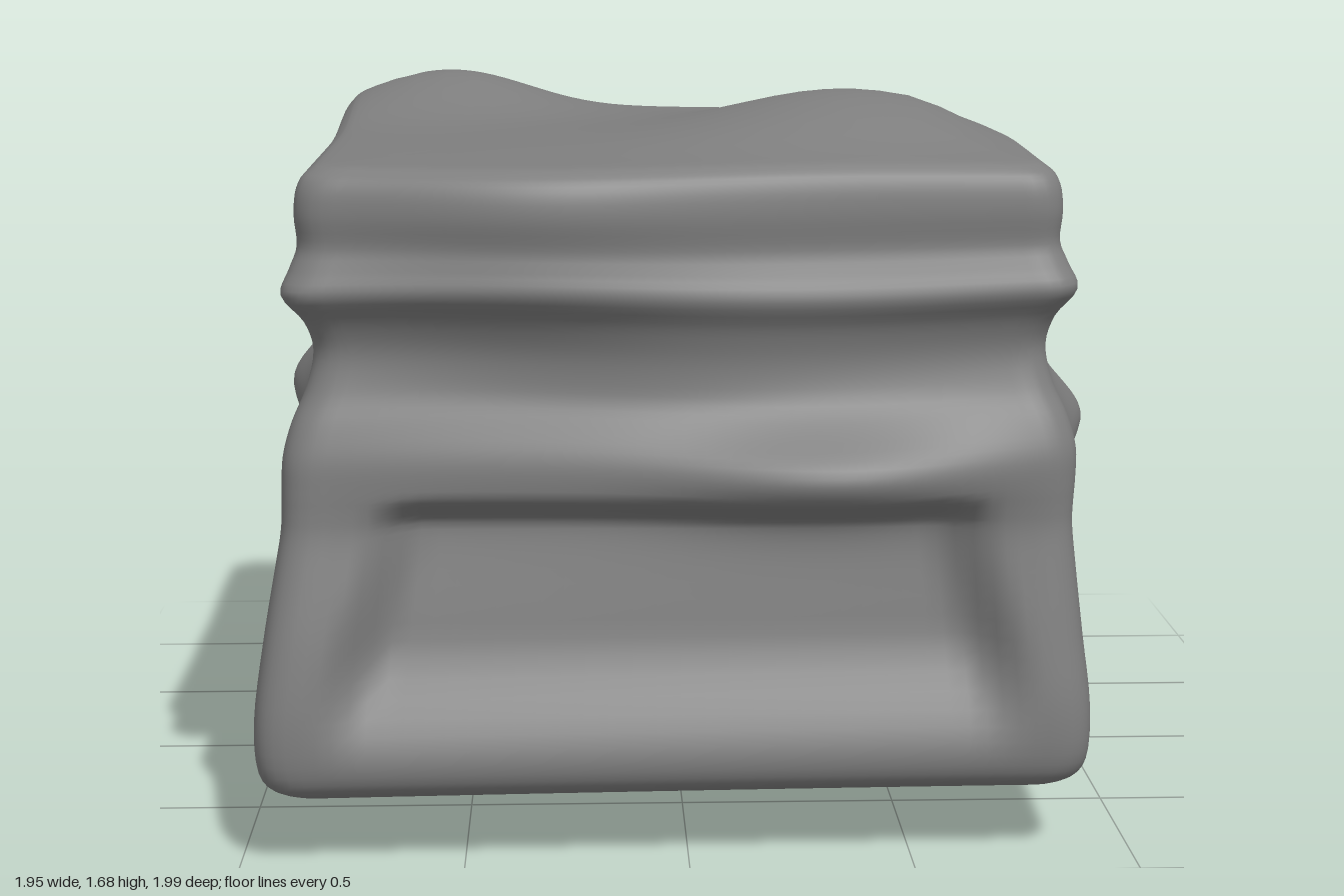
import * as THREE from 'three';

const { smoothstep } = THREE.MathUtils;
const gauss = (d, w) => Math.exp(-(d * d) / (w * w));

// Half-width and height of the block, from the middle of the underside to the middle of the top
const PROFILE = [
  [0, 0.15], [0.3, 0.15], [0.6, 0.15], [0.82, 0.15], [0.9, 0.165], [0.94, 0.22], [0.945, 0.34],
  [0.925, 0.5], [0.903, 0.65], [0.89, 0.74], [0.888, 0.79], [0.888, 0.84], [0.885, 0.91], [0.866, 0.98],
  [0.835, 1.05], [0.818, 1.13], [0.838, 1.2], [0.882, 1.265], [0.864, 1.32], [0.847, 1.37],
  [0.852, 1.44], [0.845, 1.5], [0.82, 1.535], [0.76, 1.55], [0.5, 1.55], [0.25, 1.55], [0, 1.55],
];

// Soft bulges: side (0 front, 1 +x, 2 back, 3 -x), place along side, width, height, height spread, amount
const BULGES = [
  // rim
  [0, -0.3, 0.38, 1.45, 0.28, 0.095],
  [2, 0, 0.25, 1.45, 0.25, 0.07],
  // ridge and neck
  [0, 0, 0.6, 1.14, 0.11, 0.025],
  [1, 0.2, 0.45, 1.14, 0.14, 0.065],
  [2, 0.1, 0.5, 1.16, 0.14, 0.03],
  [3, -0.4, 0.45, 1.17, 0.14, 0.055],
  // ledge over the panel
  [0, 0.33, 0.35, 0.88, 0.1, 0.11],
  [0, -0.4, 0.4, 0.88, 0.1, 0.02],
  [1, 0.2, 0.38, 0.9, 0.11, 0.11],
  [2, 0.2, 0.5, 0.9, 0.12, 0.045],
  [3, -0.4, 0.45, 0.9, 0.11, 0.085],
  // hollows near the base
  [1, -0.1, 0.5, 0.3, 0.3, -0.025],
  [2, -0.1, 0.5, 0.3, 0.3, -0.03],
];

// Shift of each corner: sign x, sign z, then dx, dz at the base and dx, dz at the top
const CORNERS = [
  [1, 1, -0.04, -0.01, -0.018, -0.012],
  [-1, 1, -0.01, 0.045, 0, 0.005],
  [-1, -1, 0.02, 0.06, 0, 0.035],
  [1, -1, 0.04, -0.055, -0.035, 0.05],
];

const STEPS = 44; // points per side
const ROUND = 0.08; // corner radius

function surfacePoint(side, s, half, y) {
  // Rounded square, with points gathered towards the corners
  const t = 0.5 * s + 0.5 * Math.sin(s * Math.PI / 2);
  const inner = 1 - ROUND;
  const ct = THREE.MathUtils.clamp(t, -inner, inner);
  const len = Math.hypot(t - ct, ROUND);
  const along = (ct + ROUND * (t - ct) / len) * half;
  let out = (inner + ROUND * ROUND / len) * half;

  // Recessed panel: crisp ledge above, gentle slope below
  const width = THREE.MathUtils.lerp(0.83, 0.71, smoothstep(y, 0.3, 0.8));
  const panel = (1 - smoothstep(Math.abs(along), width - 0.15, width))
    * smoothstep(y, 0.22, 0.5) * (1 - smoothstep(y, 0.75, 0.83));
  out -= 0.09 * panel;

  // Bulges on the sides, fading out at corners and across the caps
  const place = along * (side === 1 || side === 2 ? -1 : 1);
  const fade = (1 - t ** 8) * Math.min(1, half / 0.82);
  for (const [b, p, w, by, bh, amount] of BULGES) {
    if (b === side) out += amount * fade * gauss(place - p, w) * gauss(y - by, bh);
  }

  // Turn into place
  let [x, z] = [[along, out], [out, -along], [-along, -out], [-out, along]][side];

  // Skewed corners, blending from base to top
  const rise = smoothstep(y, 0.45, 0.98);
  const nx = x / 0.94, nz = z / 0.94;
  for (const [sx, sz, dx, dz, ux, uz] of CORNERS) {
    const k = (1 + sx * nx) * (1 + sz * nz) / 4;
    x += k * THREE.MathUtils.lerp(dx * k, ux, rise);
    z += k * THREE.MathUtils.lerp(dz * k, uz, rise);
  }

  // Wavy ridges: lifted at one back corner, dipping along the back
  const top = smoothstep(y, 1.22, 1.55);
  const band = smoothstep(y, 0.65, 1) * (1 - top);
  const back = smoothstep(-z, 0.5, 0.85);
  let h = y + band * (0.012 * Math.sin(4 * x - 3 * z)
    + back * (0.06 * smoothstep(-x, 0.3, 0.85) - 0.03 * smoothstep(x, 0.3, 0.85) - 0.03 * gauss(x, 0.35)));

  // Swollen top, flatter along the front and +x edges
  const level = 1 - 0.75 * smoothstep(Math.max(x, z), 0.55, 0.86);
  h += top * level * (0.115 * gauss(x + 0.57, 0.3) * gauss(z + 0.58, 0.32)
    + 0.105 * gauss(x - 0.4, 0.4) * gauss(z - 0.36, 0.34)
    + 0.06 * gauss(x - 0.45, 0.35) * gauss(z + 0.12, 0.35)
    + 0.02 * gauss(x, 0.6) * gauss(z, 0.6));

  // Sagging underside
  const low = 1 - smoothstep(y, 0.15, 0.4);
  h -= low * (0.15 * gauss(x + 0.08, 0.55) * gauss(z + 0.37, 0.47)
    + 0.025 * smoothstep(x - z, 0.4, 1.8));
  return [x, h, z];
}

export function createModel() {
  const curve = new THREE.SplineCurve(PROFILE.map(([r, y]) => new THREE.Vector2(r, y)));
  const rows = curve.getPoints((PROFILE.length - 1) * 4);
  const ring = STEPS * 4;
  const positions = [];
  const index = [];

  rows.forEach((row, i) => {
    for (let j = 0; j < ring; j++) {
      const side = Math.floor(j / STEPS);
      const s = ((j % STEPS) / STEPS) * 2 - 1;
      positions.push(...surfacePoint(side, s, Math.max(row.x, 0.001), row.y));
      if (i === rows.length - 1) continue;
      const a = i * ring + j;
      const b = i * ring + (j + 1) % ring;
      index.push(a, b, b + ring, a, b + ring, a + ring);
    }
  });

  const geometry = new THREE.BufferGeometry();
  geometry.setAttribute('position', new THREE.Float32BufferAttribute(positions, 3));
  geometry.setIndex(index);
  geometry.computeVertexNormals();

  // Centre it and stand it on the ground
  geometry.computeBoundingBox();
  const mid = geometry.boundingBox.getCenter(new THREE.Vector3());
  geometry.translate(-mid.x, -geometry.boundingBox.min.y, -mid.z);

  const block = new THREE.Mesh(geometry, new THREE.MeshStandardMaterial({ color: 0x7e7e7e }));
  block.name = 'panelledStoneBlock';
  const group = new THREE.Group();
  group.name = 'stonePedestal';
  group.add(block);
  return group;
}
